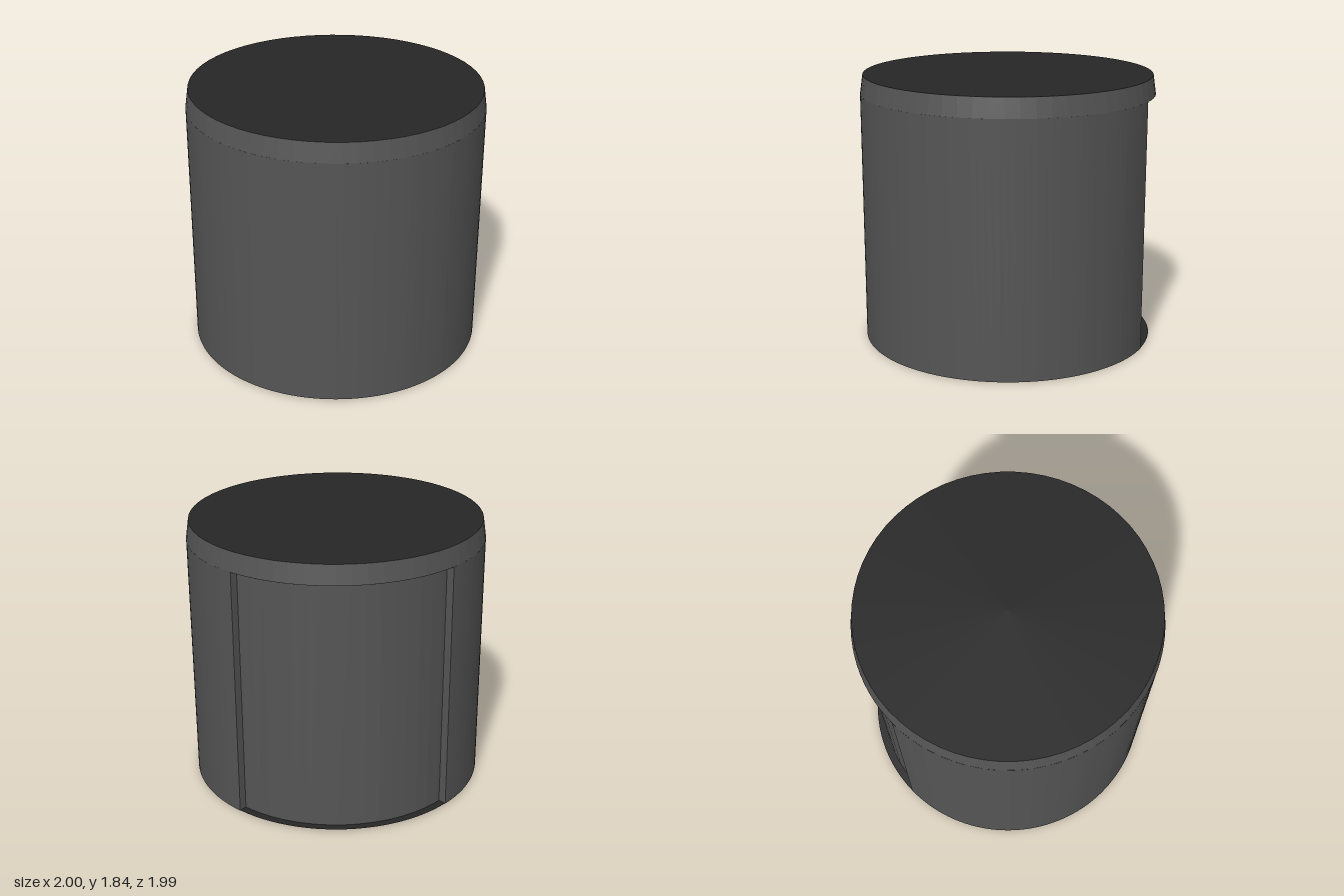
import * as THREE from 'three';

const R = 0.997, CORE = 0.943, TOP_R = 0.978;
const SHELL_H = 1.7, HEIGHT = 1.83, SIDES = 64;
const rad = THREE.MathUtils.degToRad;
// the shell is cut away at the back between these angles (90 = straight back)
const CUT_FROM = rad(49.5), CUT_TO = rad(137);

export function createModel() {
  const body = new THREE.MeshStandardMaterial({ color: 0x555555 });
  body.name = 'charcoal grey';
  const dark = new THREE.MeshStandardMaterial({ color: 0x262626, side: THREE.DoubleSide });
  dark.name = 'near black';

  const model = new THREE.Group();
  model.name = 'drum';
  const add = (name, geometry, material, y = 0) => {
    const mesh = new THREE.Mesh(geometry, material);
    mesh.name = name;
    mesh.position.y = y;
    model.add(mesh);
    return mesh;
  };
  const flatRing = () => new THREE.RingGeometry(CORE, R, 24, 1, CUT_FROM, CUT_TO - CUT_FROM).rotateX(-Math.PI / 2);
  const faceted = (geometry) => {
    const g = geometry.toNonIndexed();
    g.computeVertexNormals();
    return g;
  };

  // inner core, seen through the cut
  add('core', faceted(new THREE.CylinderGeometry(CORE, CORE, SHELL_H, SIDES, 1, true)), body, SHELL_H / 2);
  add('coreBottom', new THREE.CircleGeometry(CORE, SIDES).rotateX(Math.PI / 2), dark);

  // outer shell: C-shaped wall open at the back
  const wall = new THREE.Shape();
  wall.absarc(0, 0, R, CUT_TO, CUT_FROM + Math.PI * 2, false);
  wall.absarc(0, 0, CORE, CUT_FROM + Math.PI * 2, CUT_TO, true);
  const shell = new THREE.ExtrudeGeometry(wall, { depth: SHELL_H, bevelEnabled: false, curveSegments: 50 });
  add('shell', shell.rotateX(-Math.PI / 2), body);

  // thin floor and rim underside in the cut
  add('cutFloor', flatRing(), dark, 0.003);
  add('rimUnderside', flatRing(), dark, SHELL_H);

  // tapered rim and top
  const rimH = HEIGHT - SHELL_H;
  add('rim', faceted(new THREE.CylinderGeometry(TOP_R, R, rimH, SIDES, 1, true)), body, SHELL_H + rimH / 2);
  add('top', new THREE.CircleGeometry(TOP_R, SIDES).rotateX(-Math.PI / 2), dark, HEIGHT);

  // very slight lean
  model.rotation.z = -0.004;
  model.position.set(-0.004, 0.004, 0.003);
  const group = new THREE.Group();
  group.add(model);
  return group;
}
